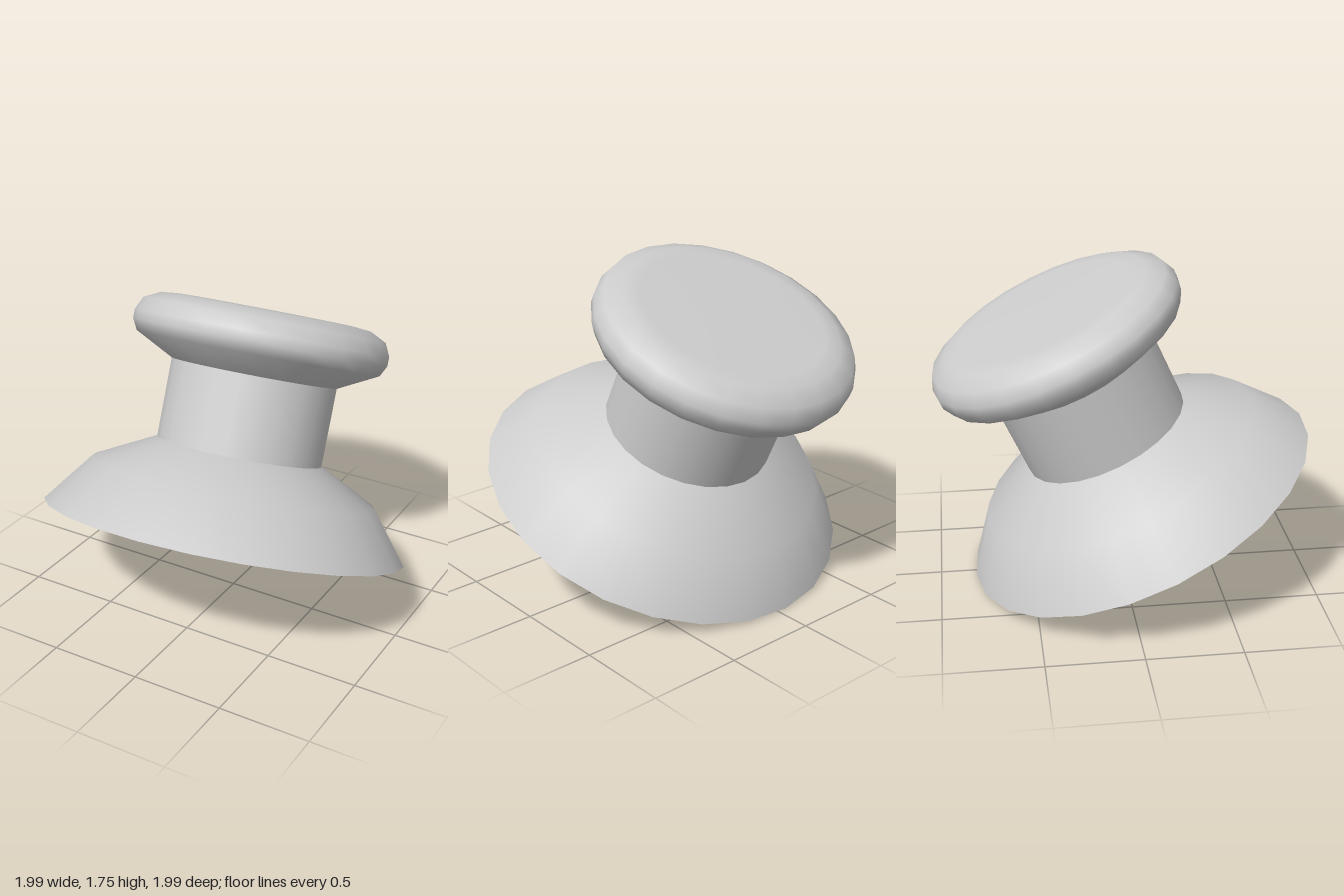
import * as THREE from 'three';

const SIDES = 24;

export function createModel() {
  const material = new THREE.MeshStandardMaterial({ color: 0xcccccc, side: THREE.DoubleSide });

  // Profiles are [radius, height] pairs along the knob's own axis, bottom to top.
  const turned = (name, profile) => {
    const points = profile.map(([r, h]) => new THREE.Vector2(r, h));
    const mesh = new THREE.Mesh(new THREE.LatheGeometry(points, SIDES), material);
    mesh.name = name;
    return mesh;
  };

  // Hollow flared skirt, open at the bottom and into the stem
  const skirt = turned('skirt', [[0.995, 0], [0.787, 0.267], [0.456, 0.437]]);

  // Hollow stem
  const stem = turned('stem', [[0.456, 0.437], [0.456, 0.87]]);

  // Rounded thumb cap with a nearly flat top
  const cap = turned('cap', [
    [0.456, 0.87], [0.668, 0.98], [0.698, 1.04], [0.698, 1.09],
    [0.665, 1.16], [0.575, 1.205], [0.49, 1.213], [0, 1.215],
  ]);

  // The whole knob leans backwards
  const knob = new THREE.Group();
  knob.name = 'tiltedKnob';
  knob.add(skirt, stem, cap);
  knob.rotation.set(-0.428, 0.06, 0, 'YXZ');
  knob.position.set(0, 0.415, 0.097);

  const model = new THREE.Group();
  model.name = 'thumbKnob';
  model.add(knob);
  return model;
}
